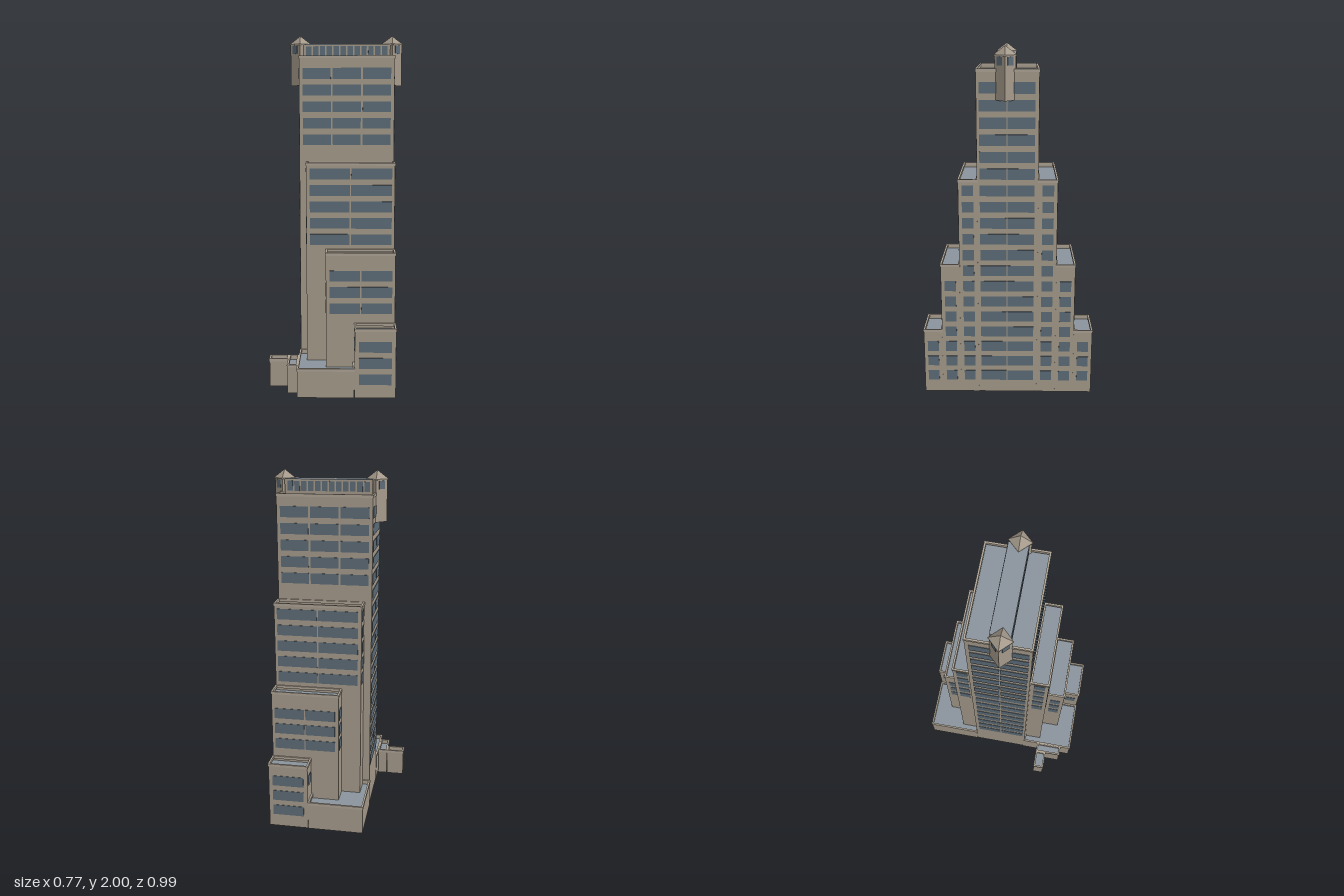
import * as THREE from 'three';

const mat = (name, color) => {
  const m = new THREE.MeshStandardMaterial({ color, side: THREE.DoubleSide });
  m.name = name;
  return m;
};

export function createModel() {
  const stone = mat('stone', 0xa59a8b);
  const trim = mat('light stone', 0xaea395);
  const glass = mat('window blue', 0x5d6c78);
  const roofing = mat('roof grey', 0x8a949c);

  const model = new THREE.Group();
  model.name = 'steppedTower';

  const add = (parent, name, geometry, material, x = 0, y = 0, z = 0) => {
    const mesh = new THREE.Mesh(geometry, material);
    mesh.name = name;
    mesh.position.set(x, y, z);
    parent.add(mesh);
    return mesh;
  };

  const rect = (Type, w, d) => {
    const s = new Type();
    s.moveTo(-w / 2, -d / 2);
    s.lineTo(w / 2, -d / 2);
    s.lineTo(w / 2, d / 2);
    s.lineTo(-w / 2, d / 2);
    s.closePath();
    return s;
  };

  // Hollow block, open below, with a sunken roof and a coping round the parapet
  const block = (name, x0, x1, z0, z1, h) => {
    const g = new THREE.Group();
    g.name = name;
    const w = x1 - x0, d = z1 - z0;
    g.position.set((x0 + x1) / 2, 0, (z0 + z1) / 2);
    const walls = new THREE.BoxGeometry(w, h - 0.005, d);
    const index = Array.from(walls.index.array);
    walls.setIndex([...index.slice(0, 12), ...index.slice(24)]);
    walls.clearGroups();
    add(g, 'walls', walls, stone, 0, (h - 0.005) / 2, 0);
    add(g, 'roof', new THREE.PlaneGeometry(w, d).rotateX(-Math.PI / 2), roofing, 0, h - 0.03, 0);
    const ring = rect(THREE.Shape, w + 0.006, d + 0.006);
    ring.holes.push(rect(THREE.Path, w - 0.016, d - 0.016));
    const coping = new THREE.ExtrudeGeometry(ring, { depth: 0.016, bevelEnabled: false }).rotateX(-Math.PI / 2);
    add(g, 'coping', coping, trim, 0, h - 0.016, 0);
    model.add(g);
  };

  // Window grid on one wall: axis and side give the facing, spans the columns, k0..k1 the floors
  const windows = (axis, side, at, spans, k0, k1) => {
    for (const [a, b] of spans) {
      for (let k = k0; k <= k1; k++) {
        const y = 0.105 + 0.0931 * k, c = (a + b) / 2, p = at + side * 0.001;
        const size = axis === 'x' ? [0.003, 0.061, b - a] : [b - a, 0.061, 0.003];
        add(model, 'window', new THREE.BoxGeometry(...size), glass, axis === 'x' ? p : c, y, axis === 'x' ? c : p);
      }
    }
  };

  // Central tower
  block('tower', -0.212, 0.327, -0.168, 0.17, 1.88);
  const towerSide = [[-0.147, 0.001], [0.007, 0.155]];
  windows('x', 1, 0.327, towerSide, 0, 18);
  windows('x', -1, -0.212, towerSide, 2, 18);

  // Setback tiers, front and back
  const tiers = [
    { name: 'upperTier', x0: -0.17, x1: 0.328, z0: 0.17, z1: 0.275, h: 1.285, top: 12, low: 8, cols: [[-0.15, 0.075], [0.083, 0.312]] },
    { name: 'middleTier', x0: -0.058, x1: 0.329, z0: 0.275, z1: 0.382, h: 0.795, top: 6, low: 4, cols: [[-0.037, 0.133], [0.14, 0.312]] },
    { name: 'lowerTier', x0: 0.103, x1: 0.33, z0: 0.382, z1: 0.488, h: 0.395, top: 2, low: 0, cols: [[0.127, 0.307]] },
  ];
  for (const s of [1, -1]) {
    const towerFace = s > 0 ? 0.17 : -0.168;
    windows('z', s, towerFace, [[-0.192, -0.033], [-0.022, 0.137], [0.148, 0.307]], 14, 18);
    for (const t of tiers) {
      const za = t.h > 1 ? towerFace : s * t.z0, zb = s * t.z1;
      block(t.name, t.x0, t.x1, Math.min(za, zb), Math.max(za, zb), t.h);
      const c = s * (t.z0 + t.z1) / 2;
      const span = [[c - 0.032, c + 0.032]];
      windows('z', s, zb, t.cols, t.low, t.top);
      windows('x', 1, t.x1, span, 0, t.top);
      windows('x', -1, t.x0, span, Math.max(t.low, 2), t.top);
    }
    const z = [towerFace, s * 0.49].sort((a, b) => a - b);
    block('podium', -0.215, 0.101, z[0], z[1], 0.168);
  }

  // Low annexes at the side
  block('innerAnnex', -0.273, -0.218, 0.266, 0.425, 0.166);
  block('outerAnnex', -0.382, -0.276, 0.266, 0.328, 0.166);

  // Rooftop hall with a row of windows
  add(model, 'roofHall', new THREE.BoxGeometry(0.5, 0.1, 0.105), stone, 0.057, 1.897, 0.008);
  add(model, 'roofHallTop', new THREE.BoxGeometry(0.5, 0.003, 0.105), roofing, 0.057, 1.9485, 0.008);
  for (const z of [-0.0455, 0.0615]) {
    for (let i = 0; i < 12; i++) {
      add(model, 'hallWindow', new THREE.BoxGeometry(0.031, 0.055, 0.003), glass, -0.162 + i * 0.0398, 1.911, z);
    }
  }

  // Diamond-plan corner turrets
  for (const [x, s] of [[-0.212, -1], [0.32, 1]]) {
    const turret = new THREE.Group();
    turret.name = 'turret';
    turret.position.set(x, 0, 0.014);
    add(turret, 'turretShaft', new THREE.CylinderGeometry(0.057, 0.057, 0.235, 4).toNonIndexed(), stone, 0, 1.8325, 0)
      .geometry.computeVertexNormals();
    const cone = new THREE.ConeGeometry(0.063, 0.048, 4).toNonIndexed();
    cone.computeVertexNormals();
    add(turret, 'turretRoof', cone, stone, 0, 1.976, 0);
    add(turret, 'turretEaves', new THREE.CylinderGeometry(0.063, 0.063, 0.006, 4), trim, 0, 1.949, 0);
    for (const f of [1, -1]) {
      const pane = add(turret, 'turretWindow', new THREE.BoxGeometry(0.04, 0.045, 0.003), glass, s * 0.0292, 1.92, f * 0.0292);
      pane.rotation.y = s * f * Math.PI / 4;
    }
    model.add(turret);
  }

  return model;
}
